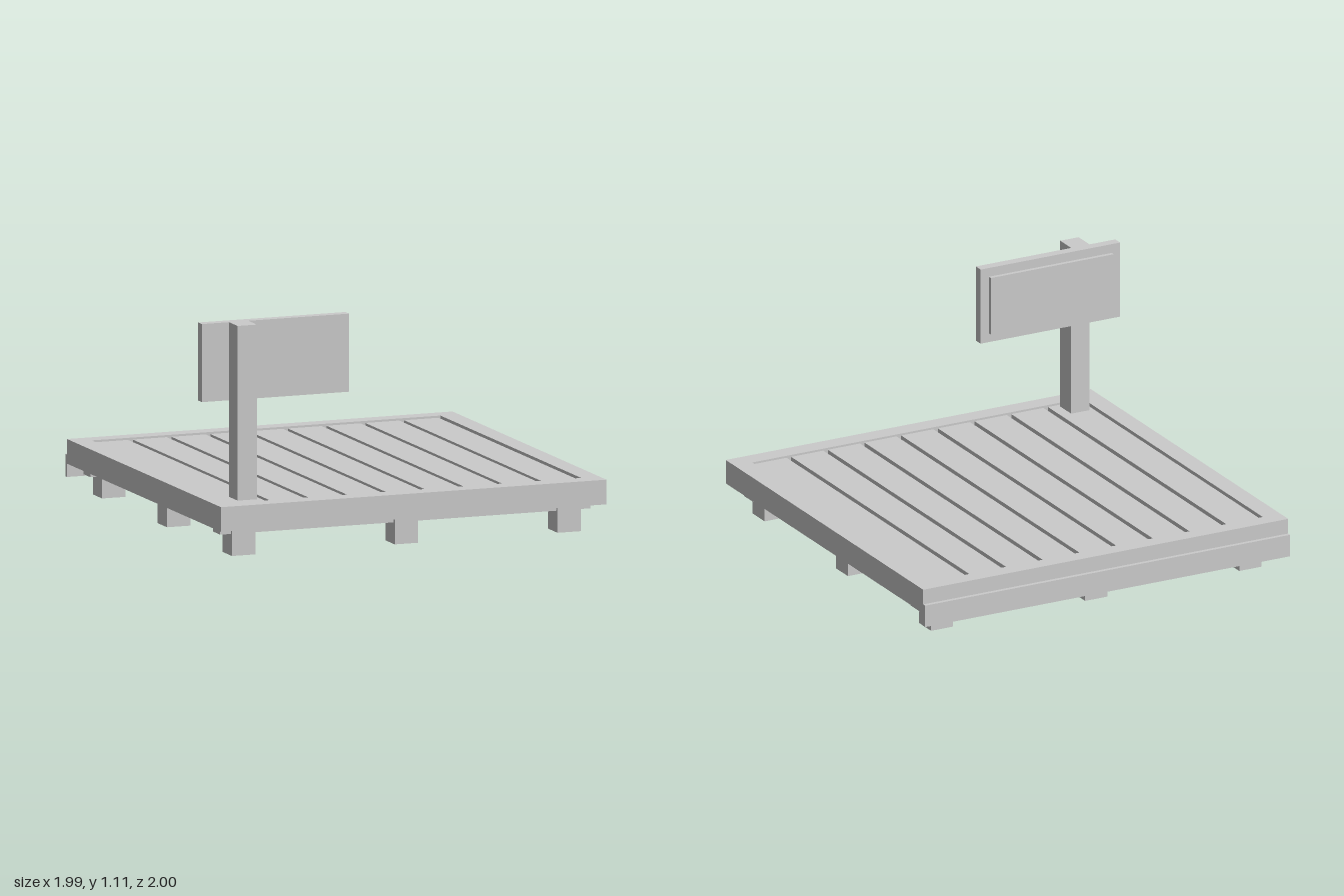
import * as THREE from 'three';

const material = new THREE.MeshStandardMaterial({ color: 0xcccccc, flatShading: true });

export function createModel() {
  const model = new THREE.Group();
  model.name = 'platformScale';

  // Box given by its extents along each axis
  const box = (name, [x0, x1], [y0, y1], [z0, z1]) => {
    const mesh = new THREE.Mesh(new THREE.BoxGeometry(x1 - x0, y1 - y0, z1 - z0), material);
    mesh.position.set((x0 + x1) / 2, (y0 + y1) / 2, (z0 + z1) / 2);
    mesh.name = name;
    model.add(mesh);
  };

  // Deck frame: a square ring (shape y maps to -z)
  const rect = (target, x, z0, z1) => {
    target.moveTo(-x, -z1);
    target.lineTo(x, -z1);
    target.lineTo(x, -z0);
    target.lineTo(-x, -z0);
    target.closePath();
    return target;
  };
  const ring = rect(new THREE.Shape(), 0.995, -0.98, 1);
  ring.holes.push(rect(new THREE.Path(), 0.9, -0.9, 0.91));
  const frameGeometry = new THREE.ExtrudeGeometry(ring, { depth: 0.12, bevelEnabled: false });
  frameGeometry.rotateX(-Math.PI / 2);
  const frame = new THREE.Mesh(frameGeometry, material);
  frame.position.y = 0.14;
  frame.name = 'deckFrame';
  model.add(frame);

  // Deck slats with narrow gaps between them
  for (let i = -4; i <= 4; i++) {
    const x = i * 0.2;
    const half = 0.0875;
    const left = i === -4 ? -0.89 : x - half;
    const right = i === 4 ? 0.89 : x + half;
    box('slat', [left, right], [0.142, 0.25], [-0.9, 0.91]);
  }

  // Bottom plate, cross rails and rear skirt
  box('bottomPlate', [-0.915, 0.915], [0.132, 0.142], [-0.9, 0.92]);
  for (const z of [-0.825, 0.845]) {
    box('crossRail', [-0.955, 0.955], [0.105, 0.145], [z - 0.045, z + 0.045]);
  }
  box('rearSkirt', [-0.995, 0.995], [0.075, 0.185], [-1, -0.98]);

  // Nine feet
  for (const x of [-0.84, 0, 0.84]) {
    for (const z of [-0.825, 0.01, 0.845]) {
      box('foot', [x - 0.06, x + 0.06], [0, 0.137], [z - 0.06, z + 0.06]);
    }
  }

  // Post with display board and raised screen facing the deck
  box('post', [-0.855, -0.755], [0.26, 1.11], [0.755, 0.865]);
  box('displayBoard', [-0.995, -0.235], [0.73, 1.11], [0.707, 0.755]);
  box('screen', [-0.95, -0.28], [0.775, 1.065], [0.687, 0.707]);

  return model;
}
